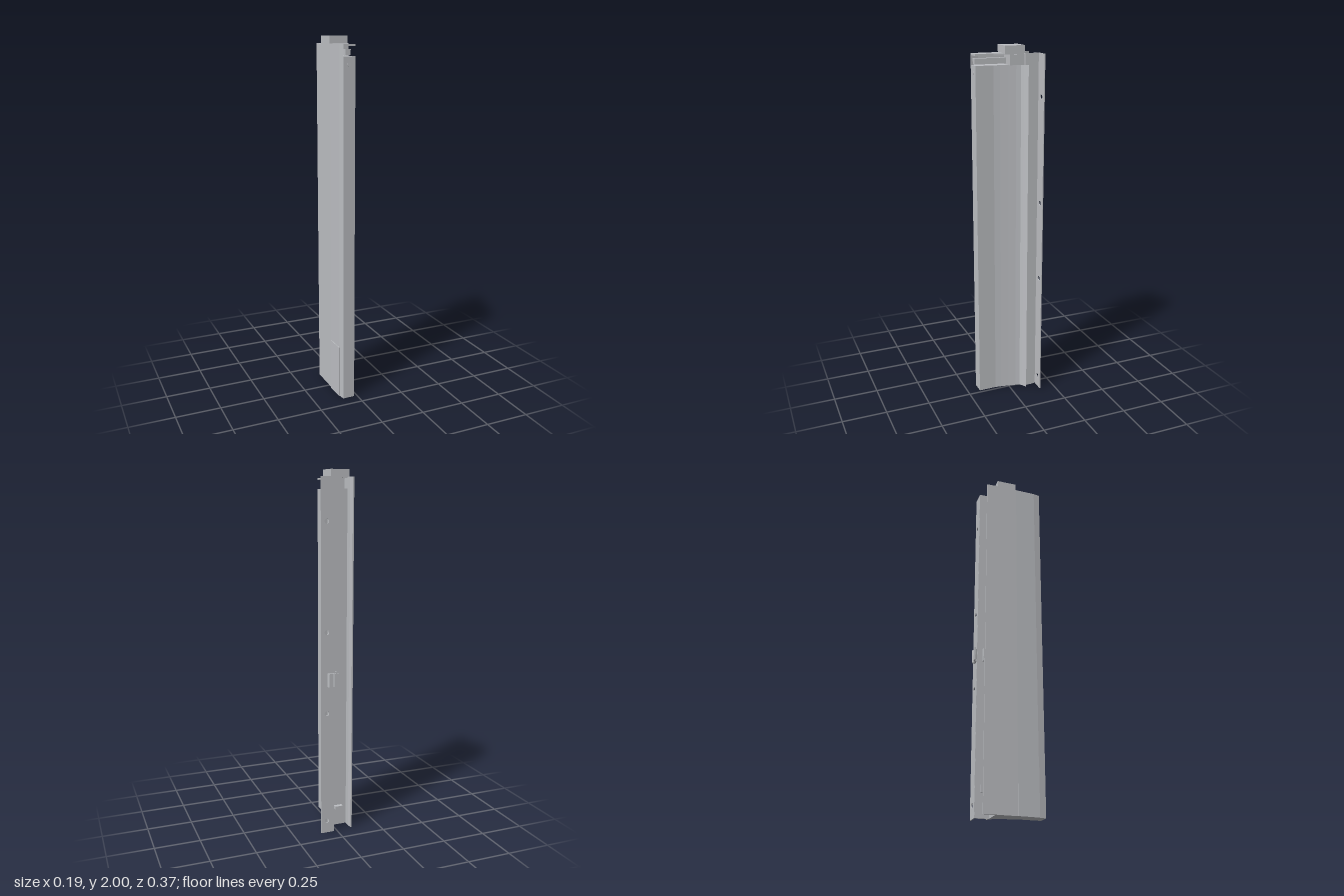
import * as THREE from 'three';

const metal = new THREE.MeshStandardMaterial({ color: 0xbdbfc3, side: THREE.DoubleSide });
metal.name = 'greyMetal';

export function createModel() {
  const model = new THREE.Group();
  model.name = 'columnProfile';

  const add = (name, geometry) => {
    const mesh = new THREE.Mesh(geometry, metal);
    mesh.name = name;
    model.add(mesh);
    return mesh;
  };
  // Upright prism from an [x, z] outline
  const prism = (name, outline, y0, y1) => {
    const shape = new THREE.Shape(outline.map(([x, z]) => new THREE.Vector2(x, -z)));
    const geo = new THREE.ExtrudeGeometry(shape, { depth: y1 - y0, bevelEnabled: false });
    geo.rotateX(-Math.PI / 2).translate(0, y0, 0);
    return add(name, geo);
  };
  // Box given by its limits
  const box = (name, x0, x1, y0, y1, z0, z1) => {
    const geo = new THREE.BoxGeometry(x1 - x0, y1 - y0, z1 - z0);
    geo.translate((x0 + x1) / 2, (y0 + y1) / 2, (z0 + z1) / 2);
    return add(name, geo);
  };

  // Main column with a flared rear edge
  prism('column', [
    [-0.09, -0.087], [-0.09, 0.145], [-0.085, 0.181], [-0.018, 0.18], [-0.018, 0.08],
    [-0.013, 0.045], [-0.005, 0.0], [0.003, -0.04], [0.01, -0.065], [0.022, -0.075],
    [0.048, -0.092], [0.03, -0.09], [0.028, -0.087],
  ], 0, 1.9);

  // Side sheet covering the column and running past its back
  prism('sidePanel', [
    [-0.096, -0.152], [-0.095, 0.03], [-0.092, 0.145], [-0.086, 0.181], [-0.083, 0.18],
    [-0.088, 0.14], [-0.088, -0.085], [-0.084, -0.09], [-0.084, -0.125], [-0.089, -0.152],
  ], 0, 1.96);
  prism('lowerCover', [
    [-0.099, 0.032], [-0.096, 0.145], [-0.091, 0.145], [-0.094, 0.032],
  ], 0, 0.3);

  // Web joining the column to the mounting flange
  prism('web', [
    [0.008, -0.087], [0.008, -0.081], [0.029, -0.081], [0.029, -0.143],
    [0.025, -0.143], [0.025, -0.163], [0.019, -0.163], [0.019, -0.087],
  ], 0, 1.96);

  // Flange with four through holes
  const flange = new THREE.Shape([
    new THREE.Vector2(0.02, 0), new THREE.Vector2(0.096, 0),
    new THREE.Vector2(0.096, 1.96), new THREE.Vector2(0.02, 1.96),
  ]);
  for (const y of [0.07, 0.7, 1.15, 1.735]) {
    flange.holes.push(new THREE.Path().absarc(0.062, y, 0.013, 0, Math.PI * 2, true));
  }
  const flangeGeo = new THREE.ExtrudeGeometry(flange, { depth: 0.005, bevelEnabled: false, curveSegments: 16 });
  add('mountingFlange', flangeGeo.translate(0, 0, -0.164));

  // Top cap, support block, cover plate and slide bar
  box('topCap', -0.095, 0.009, 1.955, 2, -0.087, 0.025);
  box('topBlock', -0.07, 0.015, 1.9, 1.955, -0.085, 0.0);
  prism('coverPlate', [
    [-0.092, 0.02], [-0.092, 0.145], [-0.085, 0.181], [-0.018, 0.18], [-0.018, 0.08], [-0.009, 0.02],
  ], 1.95, 1.96);
  box('slideBar', -0.07, -0.042, 1.905, 1.935, -0.01, 0.175);

  // Latch behind the flange, with its tongue beside the web
  prism('latch', [
    [0, -0.184], [0, -0.177], [0.02, -0.177], [0.024, -0.163], [0.058, -0.163],
    [0.054, -0.183], [0.046, -0.183], [0.042, -0.174], [0.027, -0.174], [0.025, -0.184],
  ], 0.85, 0.925);
  box('latchTongue', -0.006, 0.02, 0.85, 0.925, -0.133, -0.129);

  // Small fittings near the foot and front screw
  box('footTab', -0.057, -0.013, 0.1, 0.12, -0.11, -0.086);
  box('footClip', 0.008, 0.02, 0.13, 0.17, -0.135, -0.125);
  const screw = new THREE.CylinderGeometry(0.01, 0.01, 0.003, 16);
  add('frontScrew', screw.rotateX(Math.PI / 2).translate(-0.052, 1.86, 0.1815));

  return model;
}
